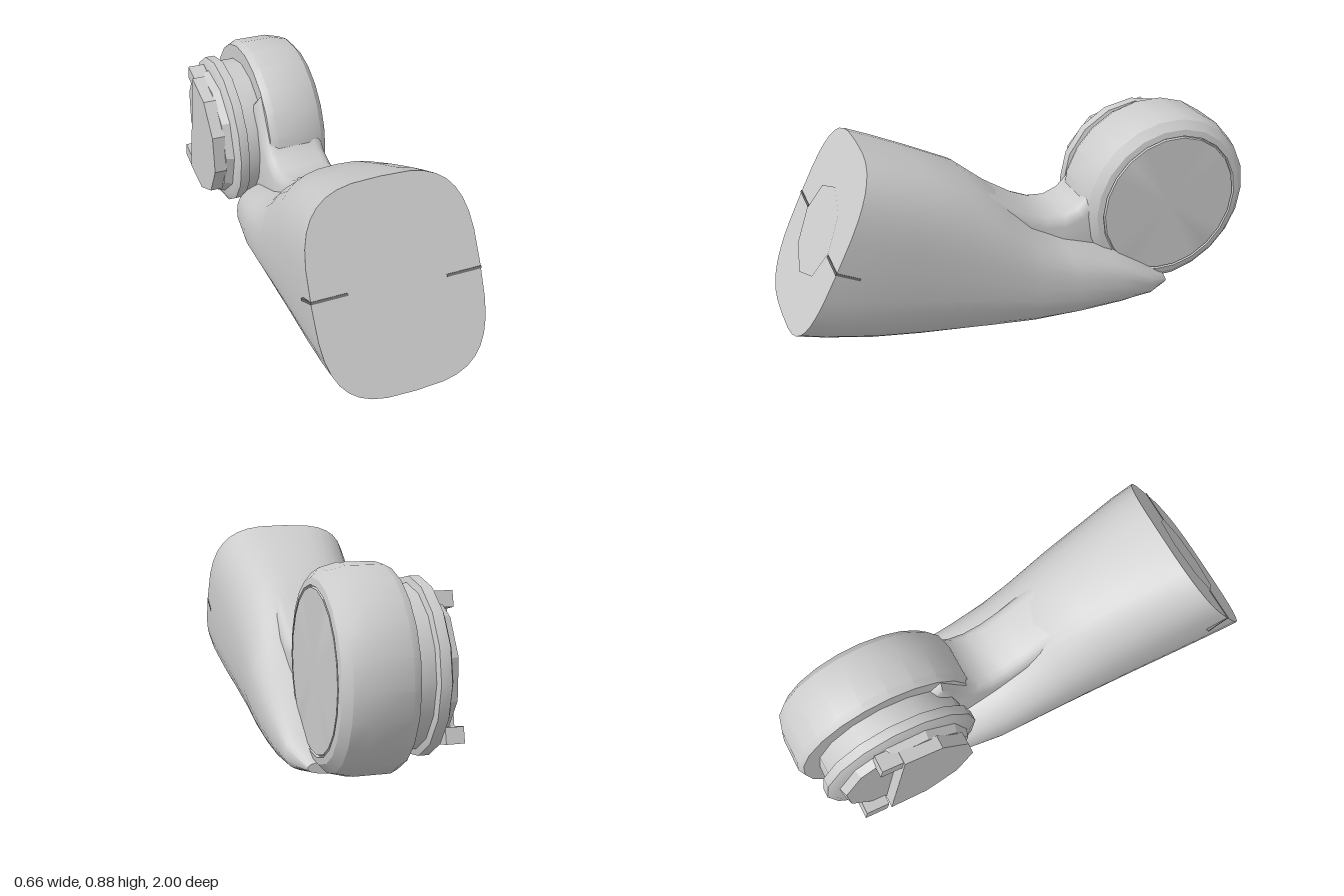
import * as THREE from 'three';
import { toCreasedNormals } from 'three/addons/utils/BufferGeometryUtils.js';

const HUB_Y = 0.455, HUB_Z = -0.615;

// Closed loft of rounded-square rings; section: [bottomZ, bottomY, topZ, topY, xMin, xMax, power]
function loft(sections, n = 36) {
  const pos = [], idx = [];
  const ring = ([bz, by, tz, ty, x0, x1, p]) => {
    const soft = (c) => Math.sign(c) * Math.pow(Math.abs(c), 2 / p);
    for (let j = 0; j < n; j++) {
      const t = (j / n) * Math.PI * 2;
      const k = (soft(Math.sin(t)) + 1) / 2;
      pos.push((x0 + x1) / 2 + soft(Math.cos(t)) * (x1 - x0) / 2, by + (ty - by) * k, bz + (tz - bz) * k);
    }
  };
  sections.forEach(ring);
  const last = sections.length - 1;
  for (let i = 0; i < last; i++) {
    for (let j = 0; j < n; j++) {
      const a = i * n + j, b = i * n + (j + 1) % n;
      idx.push(a, a + n, b, b, a + n, b + n);
    }
  }
  // end caps
  for (const [i, flip] of [[0, false], [last, true]]) {
    const [bz, by, tz, ty, x0, x1] = sections[i];
    const c = pos.length / 3;
    pos.push((x0 + x1) / 2, (by + ty) / 2, (bz + tz) / 2);
    for (let j = 0; j < n; j++) {
      const a = i * n + j, b = i * n + (j + 1) % n;
      if (flip) idx.push(c, b, a); else idx.push(c, a, b);
    }
  }
  const g = new THREE.BufferGeometry();
  g.setAttribute('position', new THREE.Float32BufferAttribute(pos, 3));
  g.setIndex(idx);
  return toCreasedNormals(g, 0.7);
}

// Turned part around the sideways hub axis; profile: [radius, x]
function turned(profile, sides) {
  const g = new THREE.LatheGeometry(profile.map(([r, x]) => new THREE.Vector2(r, x)), sides);
  g.rotateZ(-Math.PI / 2);
  g.translate(0, HUB_Y, HUB_Z);
  return toCreasedNormals(g, 0.5);
}

// Side outline [z, y] extruded from x0 to x1
function sidePlate(outline, x0, x1, bevel) {
  const shape = new THREE.Shape(outline.map(([z, y]) => new THREE.Vector2(-z, y)));
  const g = new THREE.ExtrudeGeometry(shape, {
    depth: x1 - x0 - 2 * bevel, bevelEnabled: bevel > 0, bevelSize: bevel,
    bevelThickness: bevel, bevelOffset: -bevel, bevelSegments: 3,
  });
  g.rotateY(Math.PI / 2);
  g.translate(x0 + bevel, 0, 0);
  return toCreasedNormals(g, 0.6);
}

export function createModel() {
  const model = new THREE.Group();
  const grey = new THREE.MeshStandardMaterial({ color: 0xcccccc });
  grey.name = 'light grey';
  const dark = new THREE.MeshStandardMaterial({ color: 0x707070 });
  dark.name = 'slit grey';
  const add = (name, geometry, material = grey, parent = model) => {
    const m = new THREE.Mesh(geometry, material);
    m.name = name;
    parent.add(m);
    return m;
  };

  // tapering arm shell
  add('armShell', loft([
    [1.0, 0.18, 0.65, 0.875, -0.33, 0.33, 3.2],
    [0.89, 0.145, 0.56, 0.84, -0.32, 0.33, 3.1],
    [0.7, 0.09, 0.42, 0.78, -0.3, 0.32, 2.9],
    [0.5, 0.05, 0.25, 0.7, -0.28, 0.31, 2.7],
    [0.2, 0.012, 0.1, 0.575, -0.255, 0.3, 2.6],
    [0, 0, 0, 0.47, -0.24, 0.3, 2.6],
    [-0.2, 0.006, -0.14, 0.385, -0.23, 0.3, 2.7],
    [-0.38, 0.026, -0.34, 0.31, -0.2, 0.3, 2.8],
    [-0.52, 0.048, -0.5, 0.2, -0.13, 0.28, 2.8],
    [-0.61, 0.068, -0.61, 0.12, -0.07, 0.22, 2.6],
  ]));

  // neck between arm and hub
  add('neck', sidePlate([
    [0.27, 0.69], [0.1, 0.575], [0, 0.51], [-0.08, 0.475], [-0.15, 0.468], [-0.21, 0.49],
    [-0.26, 0.54], [-0.3, 0.61], [-0.36, 0.72], [-0.62, 0.5], [-0.64, 0.075],
    [-0.4, 0.035], [0, 0.03], [0.25, 0.1],
  ], -0.1, 0.17, 0.045));

  // round hub with a grooved face
  add('hub', turned([
    [0, -0.07], [0.37, -0.07], [0.385, -0.04], [0.385, 0.1], [0.368, 0.165], [0.335, 0.195],
    [0.309, 0.2], [0.307, 0.188], [0.302, 0.188], [0.3, 0.2], [0, 0.2],
  ], 22));

  // stepped flange on the other side
  add('flange', turned([
    [0, -0.21], [0.3, -0.21], [0.33, -0.195], [0.33, -0.155], [0.305, -0.148],
    [0.305, -0.06], [0, -0.06],
  ], 16));
  add('lockBase', turned([[0, -0.245], [0.27, -0.245], [0.285, -0.2], [0, -0.2]], 11));

  // raised lock plate, cut along a slanted chord
  const rim = [];
  for (let i = 0; i <= 6; i++) {
    const a = THREE.MathUtils.degToRad(88 + i * 35);
    rim.push([HUB_Z - 0.27 * Math.cos(a), HUB_Y + 0.27 * Math.sin(a)]);
  }
  add('lockPlate', sidePlate(rim, -0.295, -0.24, 0));
  for (const [z, y] of [[-0.67, 0.7], [-0.8, 0.235]]) {
    const tab = add('lockTab', new THREE.BoxGeometry(0.07, 0.06, 0.1));
    tab.position.set(-0.25, y, z);
    tab.rotation.x = 0.25;
  }

  // socket disc and side slits on the tilted front face
  const face = new THREE.Group();
  face.name = 'frontFace';
  face.position.set(0, 0.5275, 0.825);
  face.rotation.x = -Math.atan2(0.35, 0.695);
  model.add(face);
  add('socketDisc', new THREE.CircleGeometry(0.19, 8), grey, face).position.z = 0.003;
  for (const s of [-1, 1]) {
    const slit = add('slit', new THREE.BoxGeometry(0.14, 0.01, 0.1), dark, face);
    slit.position.set(s * 0.261, s * -0.012, -0.047);
  }
  return model;
}
